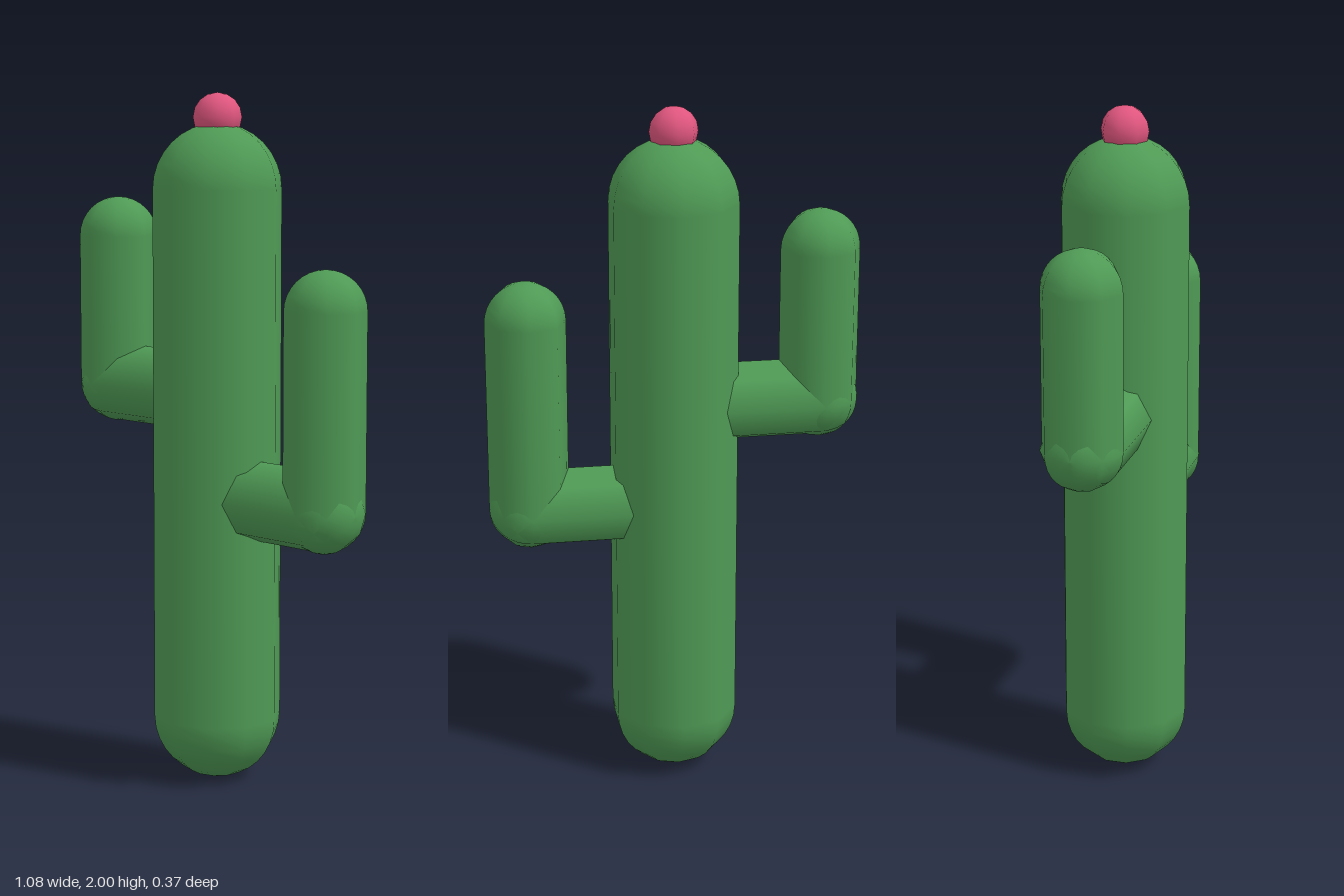
import * as THREE from 'three';

const green = new THREE.MeshStandardMaterial({ color: 0x4f9a55 });
green.name = 'cactus green';
const pink = new THREE.MeshStandardMaterial({ color: 0xe0567f });
pink.name = 'flower pink';

// Upright capsule whose cap centres sit at y = 0 and y = length
function capsule(radius, length, sides, capSteps = 8) {
  const profile = [];
  for (const [y, start] of [[0, -Math.PI / 2], [length, 0]]) {
    for (let i = 0; i <= capSteps; i++) {
      const a = start + (i / capSteps) * Math.PI / 2;
      const atPole = (y === 0 && i === 0) || (y > 0 && i === capSteps);
      profile.push(new THREE.Vector2(atPole ? 0 : radius * Math.cos(a), y + radius * Math.sin(a)));
    }
  }
  return new THREE.LatheGeometry(profile, sides);
}

function part(name, geometry, material, x, y) {
  const mesh = new THREE.Mesh(geometry, material);
  mesh.name = name;
  mesh.position.set(x, y, 0);
  return mesh;
}

// Arm: a horizontal capsule from the trunk meeting an upright one at the elbow
function arm(name, side, elbowY, topY) {
  const radius = 0.116, reach = 0.424;
  const group = new THREE.Group();
  group.name = name;
  const branch = part(name + 'Branch', capsule(radius, reach, 8), green, 0, elbowY);
  branch.rotation.z = -side * Math.PI / 2;
  const upright = part(name + 'Upright', capsule(radius, topY - radius - elbowY, 8), green, side * reach, elbowY);
  group.add(branch, upright);
  return group;
}

export function createModel() {
  const model = new THREE.Group();
  model.name = 'cactus';
  const r = 0.187;
  model.add(
    part('trunk', capsule(r, 1.914 - 2 * r, 10), green, 0, r),
    arm('leftArm', 1, 0.841, 1.517),
    arm('rightArm', -1, 1.137, 1.695),
    part('flower', new THREE.SphereGeometry(0.07, 8, 8), pink, 0, 1.93),
  );
  return model;
}
